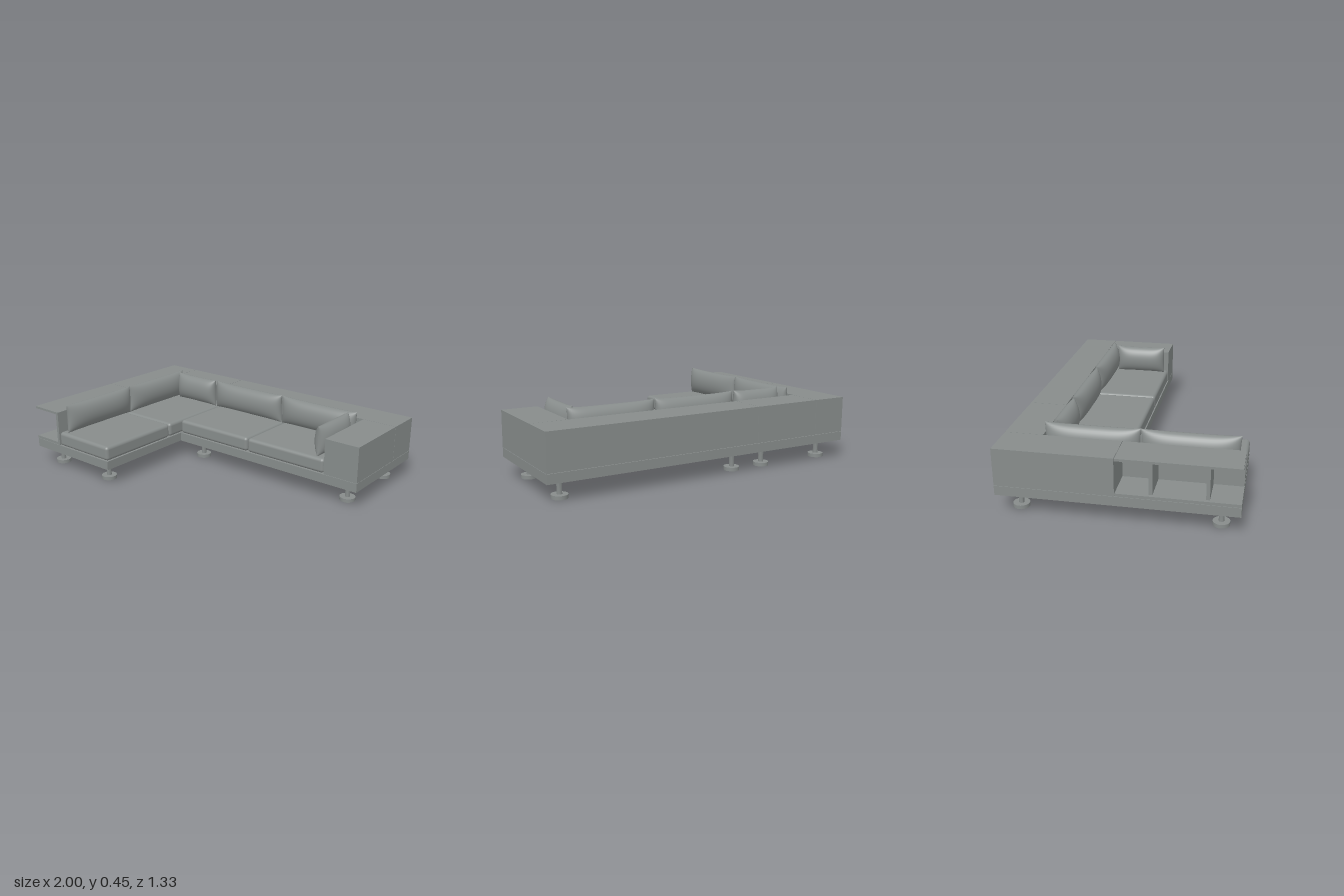
import * as THREE from 'three';
import { mergeGeometries, toCreasedNormals } from 'three/addons/utils/BufferGeometryUtils.js';
import { RoundedBoxGeometry } from 'three/addons/geometries/RoundedBoxGeometry.js';

const material = new THREE.MeshStandardMaterial({ color: 0x878c8b });

function add(parent, name, geometry, x = 0, y = 0, z = 0) {
  const mesh = new THREE.Mesh(geometry, material);
  mesh.name = name;
  mesh.position.set(x, y, z);
  parent.add(mesh);
  return mesh;
}

// Box given by its extents on each axis; a radius rounds its edges
function block(parent, name, [x0, x1], [y0, y1], [z0, z1], radius = 0) {
  const size = [x1 - x0, y1 - y0, z1 - z0];
  const geometry = radius
    ? new RoundedBoxGeometry(...size, 4, radius)
    : new THREE.BoxGeometry(...size);
  return add(parent, name, geometry, (x0 + x1) / 2, (y0 + y1) / 2, (z0 + z1) / 2);
}

// Stuffed pillow: two bulged sheets meeting at a seam, with pulled-out corners
function pillowGeometry(width, height, depth) {
  const front = new THREE.PlaneGeometry(2, 2, 32, 20);
  const p = front.attributes.position;
  for (let i = 0; i < p.count; i++) {
    const u = Math.sin(p.getX(i) * Math.PI / 2);
    const v = Math.sin(p.getY(i) * Math.PI / 2);
    const bulge = Math.sqrt(Math.max(0, (1 - u ** 4) * (1 - v * v)));
    p.setXYZ(i,
      (width / 2) * u * (1 - 0.022 * (1 - v * v)),
      (height / 2) * v * (1 - 0.07 * (1 - u ** 4)),
      (depth / 2) * bulge);
  }
  front.computeVertexNormals();
  return mergeGeometries([front, front.clone().rotateY(Math.PI)]);
}

export function createModel() {
  const sofa = new THREE.Group();
  sofa.name = 'cornerSofa';

  // Base platforms of the two modules
  const baseY = [0.114, 0.169];
  block(sofa, 'chaiseBase', [-1, -0.338], baseY, [-0.665, 0.665]);
  block(sofa, 'mainBase', [-0.335, 1], baseY, [-0.665, 0]);

  // Back and arm blocks, separated by fine seams
  const backY = [0.171, 0.39];
  block(sofa, 'mainBack', [-0.335, 1], backY, [-0.665, -0.446]);
  block(sofa, 'cornerBack', [-0.779, -0.337], backY, [-0.665, -0.446]);
  block(sofa, 'leftArm', [0.78, 1], backY, [-0.444, 0]);
  block(sofa, 'rightArm', [-1, -0.781], backY, [-0.665, -0.001]);

  // Open shelf on the outside of the chaise
  const shelf = new THREE.Group();
  shelf.name = 'openShelf';
  sofa.add(shelf);
  block(shelf, 'shelfTop', [-1, -0.781], [0.376, 0.39], [0.001, 0.665]);
  block(shelf, 'shelfFloor', [-1, -0.781], [0.171, 0.188], [0.001, 0.665]);
  block(shelf, 'shelfWall', [-0.8, -0.781], [0.188, 0.376], [0.001, 0.665]);
  for (const z of [0.18, 0.48]) {
    block(shelf, 'shelfDivider', [-0.98, -0.8], [0.188, 0.376], [z, z + 0.02]);
  }

  // Seat cushions
  const seats = [
    [[-0.335, 0.217], [-0.443, 0]],
    [[0.221, 0.775], [-0.443, 0]],
    [[-0.779, -0.337], [-0.443, 0.106]],
    [[-0.779, -0.337], [0.11, 0.665]],
  ];
  for (const [x, z] of seats) block(sofa, 'seatCushion', x, [0.17, 0.26], z, 0.02);

  // Loose pillows: centre x, centre z, width, turned along z or not
  const pillows = [
    [-0.065, -0.39, 0.55, false],
    [0.49, -0.39, 0.55, false],
    [-0.523, -0.39, 0.34, false],
    [-0.722, -0.18, 0.545, true],
    [-0.722, 0.363, 0.55, true],
    [0.719, -0.19, 0.34, true],
  ];
  for (const [x, z, width, turned] of pillows) {
    const pillow = add(sofa, 'pillow', pillowGeometry(width, 0.185, 0.112), x, 0.353, z);
    if (turned) pillow.rotation.y = Math.PI / 2;
  }

  // Turned legs with a tapered stem and a hollow disc foot
  const profile = [
    [0, 0.012], [0.037, 0.012], [0.037, 0], [0.047, 0], [0.047, 0.022],
    [0.015, 0.022], [0.015, 0.06], [0.017, 0.09], [0.019, 0.114],
  ].map(([r, y]) => new THREE.Vector2(r, y));
  const legGeometry = toCreasedNormals(new THREE.LatheGeometry(profile, 28), 0.6);
  for (const [xs, zs] of [[[-0.89, -0.447], [-0.555, 0.557]], [[-0.226, 0.887], [-0.555, -0.11]]]) {
    for (const x of xs) for (const z of zs) add(sofa, 'leg', legGeometry, x, 0, z);
  }

  return sofa;
}
